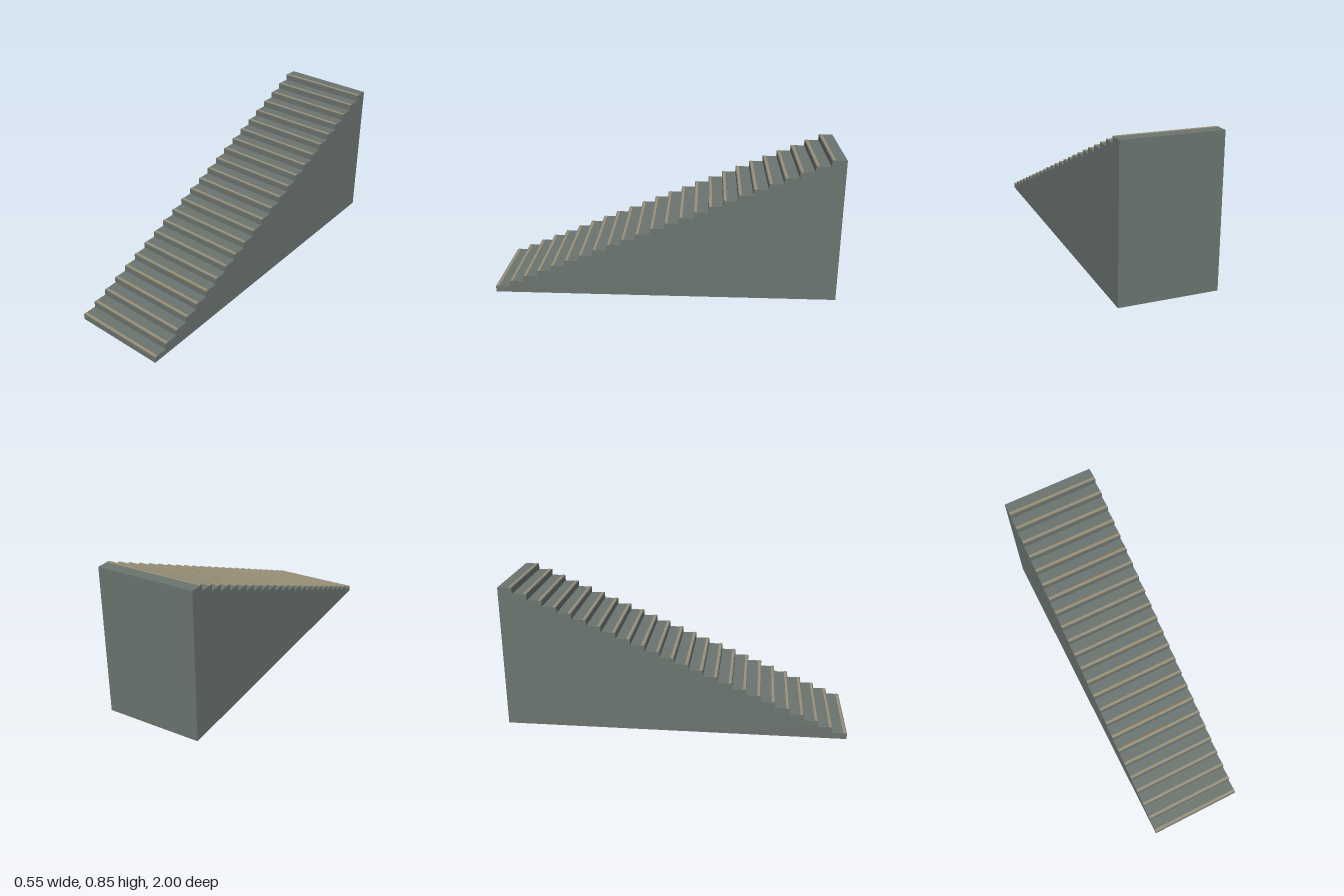
import * as THREE from 'three';

const STEPS = 24, WIDTH = 0.55, HEIGHT = 0.845, LENGTH = 2;
const RISE = HEIGHT / STEPS, RUN = LENGTH / STEPS;

export function createModel() {
  const group = new THREE.Group();
  group.name = 'staircase';

  const stone = new THREE.MeshStandardMaterial({ color: 0x6b746f });
  stone.name = 'grey green stone';
  const tan = new THREE.MeshStandardMaterial({ color: 0x9a9078 });
  tan.name = 'tan edging';

  // Solid flight: stepped side profile, swept across the width
  const profile = new THREE.Shape();
  profile.moveTo(-LENGTH / 2, 0);
  profile.lineTo(LENGTH / 2, 0);
  for (let i = 0; i < STEPS; i++) {
    const z = LENGTH / 2 - i * RUN;
    profile.lineTo(z, (i + 1) * RISE);
    profile.lineTo(z - RUN, (i + 1) * RISE);
  }
  profile.closePath();
  const flightGeo = new THREE.ExtrudeGeometry(profile, { depth: WIDTH, bevelEnabled: false });
  flightGeo.translate(0, 0, -WIDTH / 2).rotateY(-Math.PI / 2);
  const flight = new THREE.Mesh(flightGeo, stone);
  flight.name = 'stairFlight';
  group.add(flight);

  // Thin grip strip just behind the front edge of each tread
  const stripGeo = new THREE.BoxGeometry(WIDTH, 0.003, 0.015);
  for (let i = 0; i < STEPS; i++) {
    const strip = new THREE.Mesh(stripGeo, tan);
    strip.name = `treadStrip${i + 1}`;
    strip.position.set(0, (i + 1) * RISE + 0.001, LENGTH / 2 - i * RUN - 0.0125);
    group.add(strip);
  }
  return group;
}
